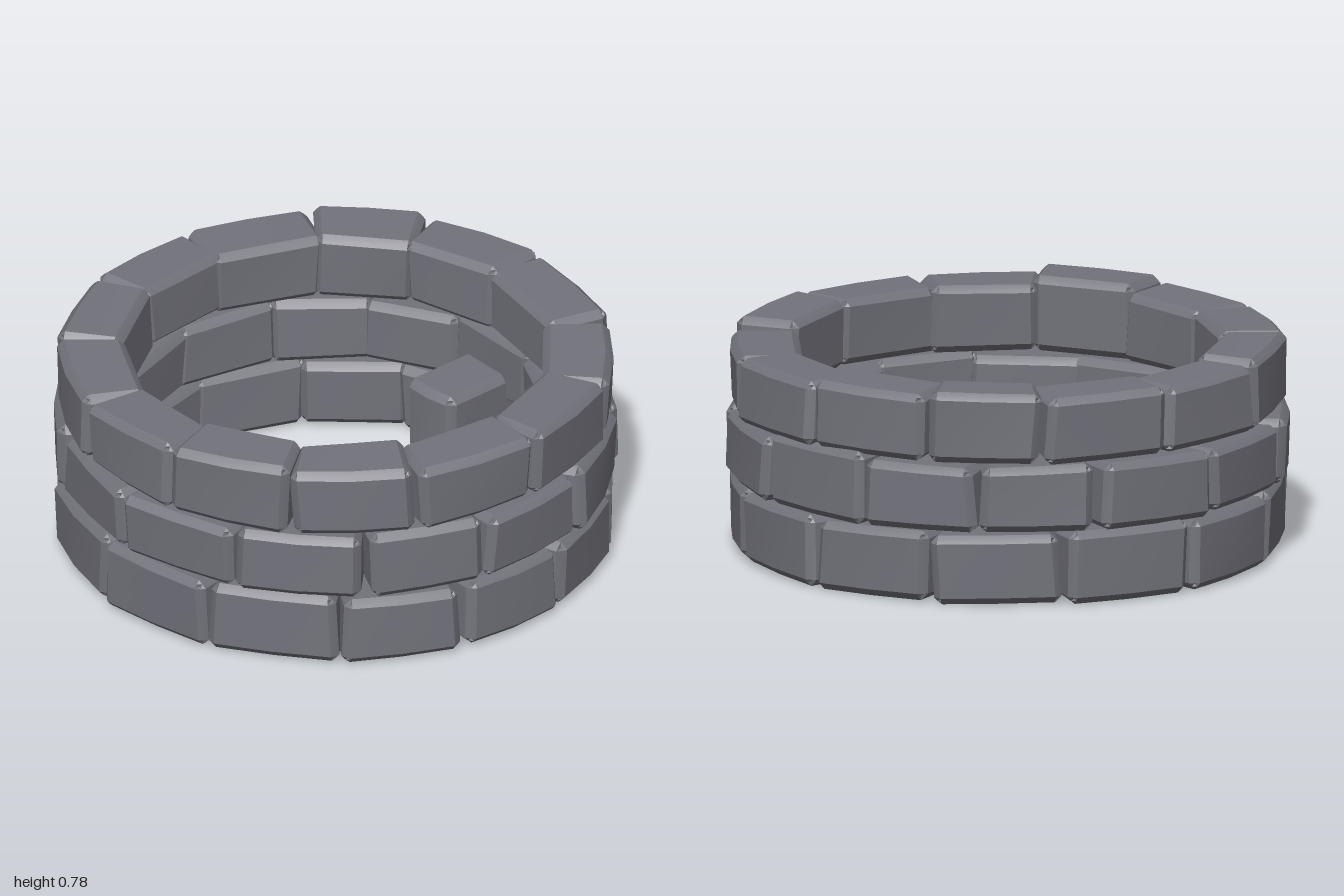
import * as THREE from 'three';
import { mergeVertices, toCreasedNormals } from 'three/addons/utils/BufferGeometryUtils.js';

const stoneMat = new THREE.MeshStandardMaterial({ color: 0x72727b });
stoneMat.name = 'grey stone';

// Small seeded generator, -1..1
let seed = 7;
function rnd() {
  seed = (seed * 16807) % 2147483647;
  return (seed / 2147483647) * 2 - 1;
}

// Worn block: length along x, height along y, depth along z (outer face at +z)
function stoneGeometry(len, h, d, taper, jitter) {
  let g = new THREE.BoxGeometry(2, 2, 2, 4, 4, 4);
  g.deleteAttribute('uv');
  g.deleteAttribute('normal');
  g = mergeVertices(g, 1e-4);
  const half = [len / 2, h / 2, d / 2];
  const corners = Array.from({ length: 8 }, () => [rnd() * jitter, rnd() * jitter * 0.4, rnd() * jitter * 0.7]);
  const bulge = 0.016 + rnd() * 0.006;
  const p = g.attributes.position;
  for (let i = 0; i < p.count; i++) {
    const u = [p.getX(i), p.getY(i), p.getZ(i)].map(v => Math.round(v * 2) / 2);
    const ends = u.filter(v => Math.abs(v) === 1).length;
    const bevel = ends === 3 ? 0.021 : ends === 2 ? 0.012 : 0;
    // Inner grid lines sit close to the edges so only a narrow rim is rounded
    const q = u.map((v, k) => {
      const a = Math.abs(v);
      return Math.sign(v) * (a === 1 ? half[k] - bevel : a === 0.5 ? half[k] - 0.026 : 0);
    });
    const n = q.map((v, k) => v / half[k]);
    q[0] *= 1 + taper * n[2];
    // Irregular corners, blended across the block
    corners.forEach((c, j) => {
      const s = [j & 1 ? 1 : -1, j & 2 ? 1 : -1, j & 4 ? 1 : -1];
      const w = s.reduce((t, sv, k) => t * (1 + sv * n[k]) / 2, 1);
      for (let k = 0; k < 3; k++) q[k] += c[k] * w;
    });
    // Gentle curve around the ring
    q[2] += bulge * (1 - n[0] * n[0]) * (0.5 + 0.5 * n[2]);
    p.setXYZ(i, q[0], q[1], q[2]);
  }
  return toCreasedNormals(g, 0.5);
}

// Courses: stone bearings in degrees from +z towards +x, with optional top heights
const courses = [
  { name: 'bottomCourse', y0: 0.005, y1: 0.256, outer: 0.96,
    angles: [22, 48, 76, 104, 131, 160, 189, 217, 246, 274, 303, 331, 356], tops: {} },
  { name: 'middleCourse', y0: 0.262, y1: 0.496, outer: 0.96,
    angles: [1.5, 30, 60, 89, 116, 139, 167, 195, 224, 252, 280, 309, 336], tops: { 89: 0.52, 336: 0.505 } },
  { name: 'topCourse', y0: 0.51, y1: 0.752, outer: 0.95,
    angles: [17, 45, 74, 104.5, 128, 155, 183, 210, 239, 266, 293, 320, 347],
    tops: { 45: 0.73, 74: 0.742, 128: 0.762, 293: 0.775, 210: 0.76 } },
];

export function createModel() {
  const model = new THREE.Group();
  model.name = 'stoneRing';

  for (const c of courses) {
    const course = new THREE.Group();
    course.name = c.name;
    const n = c.angles.length;
    c.angles.forEach((a, i) => {
      const next = (c.angles[(i + 1) % n] - a + 360) % 360;
      const prev = (a - c.angles[(i + n - 1) % n] + 360) % 360;
      const span = THREE.MathUtils.degToRad((next + prev) / 2);
      const top = c.tops[a] ?? c.y1 + rnd() * 0.004;
      const depth = 0.23 + rnd() * 0.008;
      const r = c.outer - depth / 2 + rnd() * 0.008;
      const mesh = new THREE.Mesh(stoneGeometry(span * 0.87, top - c.y0, depth, 0.07, 0.016), stoneMat);
      mesh.name = 'stone';
      const t = THREE.MathUtils.degToRad(a + (next - prev) / 4);
      mesh.position.set(Math.sin(t) * r, (c.y0 + top) / 2, Math.cos(t) * r);
      mesh.rotation.y = t + rnd() * 0.035;
      course.add(mesh);
    });
    model.add(course);
  }

  // Two blocks reaching inwards from the sides
  for (const side of [-1, 1]) {
    const mesh = new THREE.Mesh(stoneGeometry(0.23, 0.27, 0.40, 0, 0.012), stoneMat);
    mesh.name = side > 0 ? 'leftInnerStone' : 'rightInnerStone';
    mesh.position.set(side * 0.65, 0.245, -0.005);
    mesh.rotation.y = -side * Math.PI / 2;
    model.add(mesh);
  }
  return model;
}
